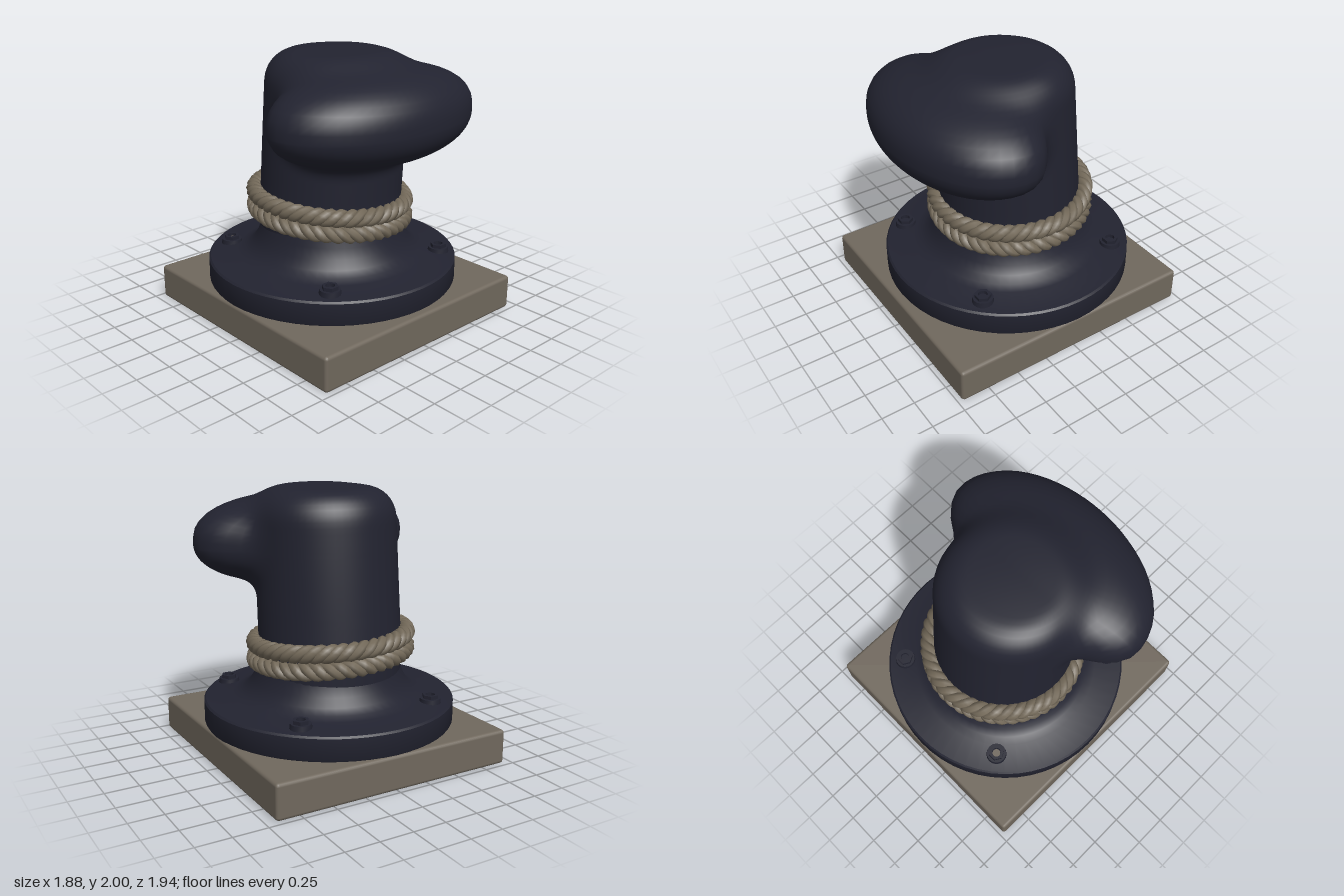
import * as THREE from 'three';
import { toCreasedNormals } from 'three/addons/utils/BufferGeometryUtils.js';
import { RoundedBoxGeometry } from 'three/addons/geometries/RoundedBoxGeometry.js';

const iron = new THREE.MeshStandardMaterial({ name: 'dark navy iron', color: 0x222330 });
const stone = new THREE.MeshStandardMaterial({ name: 'grey brown stone', color: 0x70685d });
const hemp = new THREE.MeshStandardMaterial({ name: 'weathered rope', color: 0x736959 });

function add(parent, name, geometry, material, x = 0, y = 0, z = 0) {
  const mesh = new THREE.Mesh(geometry, material);
  mesh.name = name;
  mesh.position.set(x, y, z);
  parent.add(mesh);
  return mesh;
}

// Post with a rounded top, leaning slightly forward; negative inside
function postField(x, y, z) {
  const k = THREE.MathUtils.clamp((y - 0.9) / 0.9, 0, 1);
  const radius = 0.53 - 0.01 * k, round = 0.2;
  const rho = Math.hypot(x, z - (-0.04 + 0.07 * k));
  const a = rho - radius + round;
  const b = y - (1.995 - 0.1 * rho * rho) + round;
  return Math.min(Math.max(a, b), 0) + Math.hypot(Math.max(a, 0), Math.max(b, 0)) - round;
}

// Wide overhanging lobe at the front
function lobeField(x, y, z) {
  const dz = z - 0.38;
  const px = Math.abs(x) / 0.865, pz = Math.abs(dz) / (dz > 0 ? 0.56 : 0.42);
  const py = Math.abs(y - 1.585) / 0.335;
  const plan = Math.hypot(px, pz);
  return ((plan ** 2.35 + py ** 2.35) ** (1 / 2.35) - 1) * 0.38;
}

// Smooth union of post and lobe
function headField(x, y, z) {
  const a = postField(x, y, z), b = lobeField(x, y, z), k = 0.14;
  const h = Math.max(k - Math.abs(a - b), 0) / k;
  return Math.min(a, b) - h * h * k * 0.25;
}

// Rings of rays cast from a spine: level rays up the post, then fanning over the top
function postGeometry() {
  const rings = [], sides = 72, z0 = 0.1, yFan = 1.55;
  for (let i = 0; i < 8; i++) rings.push([0.5 + i * 0.08, 0]);
  for (let i = 0; i < 24; i++) rings.push([1.12 + i * 0.018, 0]);
  for (let i = 0; i <= 24; i++) rings.push([yFan, (i / 24) * Math.PI / 2]);
  const pos = [], index = [];
  rings.forEach(([y, tilt], i) => {
    for (let j = 0; j < sides; j++) {
      const a = (j / sides) * Math.PI * 2;
      const dx = Math.sin(a) * Math.cos(tilt), dy = Math.sin(tilt), dz = Math.cos(a) * Math.cos(tilt);
      const f = t => headField(dx * t, y + dy * t, z0 + dz * t);
      let t = 0.2, prev = f(t), next = prev;
      while (t < 1.5) {
        next = f(t + 0.01);
        if (next > 0) break;
        prev = next;
        t += 0.01;
      }
      t += 0.01 * prev / (prev - next);
      pos.push(dx * t, y + dy * t, z0 + dz * t);
      if (i < rings.length - 1) {
        const p = i * sides + j, q = i * sides + (j + 1) % sides;
        index.push(p, q, q + sides, p, q + sides, p + sides);
      }
    }
  });
  const g = new THREE.BufferGeometry();
  g.setAttribute('position', new THREE.Float32BufferAttribute(pos, 3));
  g.setIndex(index);
  g.computeVertexNormals();
  return g;
}

// One strand winding around a tilted loop
class Strand extends THREE.Curve {
  constructor(height, slopeX, slopeZ, phase, twists) {
    super();
    Object.assign(this, { height, slopeX, slopeZ, phase, twists });
  }
  getPoint(t, target = new THREE.Vector3()) {
    const a = t * Math.PI * 2, w = a * this.twists + this.phase;
    const r = 0.56 + 0.033 * Math.cos(w);
    const x = Math.sin(a), z = Math.cos(a);
    return target.set(x * r, this.height + this.slopeX * x + this.slopeZ * z + 0.033 * Math.sin(w), z * r);
  }
}

function ropeLoop(name, height, slopeX, slopeZ, twists) {
  const loop = new THREE.Group();
  loop.name = name;
  for (let s = 0; s < 3; s++) {
    const curve = new Strand(height, slopeX, slopeZ, s * Math.PI * 2 / 3, twists);
    add(loop, 'ropeStrand', new THREE.TubeGeometry(curve, 220, 0.036, 7, true), hemp);
  }
  loop.position.z = -0.05;
  return loop;
}

function bolt(x, z) {
  const g = new THREE.Group();
  g.name = 'bolt';
  add(g, 'washer', toCreasedNormals(new THREE.CylinderGeometry(0.075, 0.08, 0.04, 16), 0.6), iron, 0, 0.0, 0);
  const ring = new THREE.Shape();
  for (let i = 0; i < 6; i++) {
    const a = i * Math.PI / 3;
    ring[i ? 'lineTo' : 'moveTo'](0.06 * Math.cos(a), 0.06 * Math.sin(a));
  }
  ring.closePath();
  ring.holes.push(new THREE.Path().absarc(0, 0, 0.034, 0, Math.PI * 2, true));
  const nut = new THREE.ExtrudeGeometry(ring, { depth: 0.028, bevelEnabled: false, curveSegments: 8 });
  nut.rotateX(-Math.PI / 2);
  add(g, 'nut', nut, iron, 0, 0.018, 0);
  g.position.set(x, 0.46, z);
  return g;
}

export function createModel() {
  const model = new THREE.Group();
  model.name = 'mooringBollard';

  // Square plinth
  add(model, 'plinth', new RoundedBoxGeometry(1.87, 0.26, 1.94, 2, 0.025), stone, -0.005, 0.13, 0);

  // Round flange flaring up into the post
  const profile = [[0.925, 0.25], [0.938, 0.27], [0.938, 0.425], [0.925, 0.438], [0.72, 0.458], [0.66, 0.48],
    [0.61, 0.52], [0.57, 0.58], [0.54, 0.66], [0.515, 0.76]].map(([r, y]) => new THREE.Vector2(r, y));
  add(model, 'flange', toCreasedNormals(new THREE.LatheGeometry(profile, 56), 0.6), iron, 0, 0, -0.025);

  // Post and overhanging head
  add(model, 'postAndHead', postGeometry(), iron);

  // Four bolts; one is bare in the middle
  for (const [x, z] of [[-0.51, -0.625], [0.555, -0.605], [-0.55, 0.57], [0.56, 0.56]]) model.add(bolt(x, z));
  add(model, 'bareBoltHole', new THREE.CylinderGeometry(0.03, 0.03, 0.006, 12), stone, -0.51, 0.482, -0.625);

  // Two turns of rope
  model.add(ropeLoop('upperRope', 0.895, -0.03, -0.03, 15));
  model.add(ropeLoop('lowerRope', 0.775, -0.035, -0.03, -15));
  return model;
}
